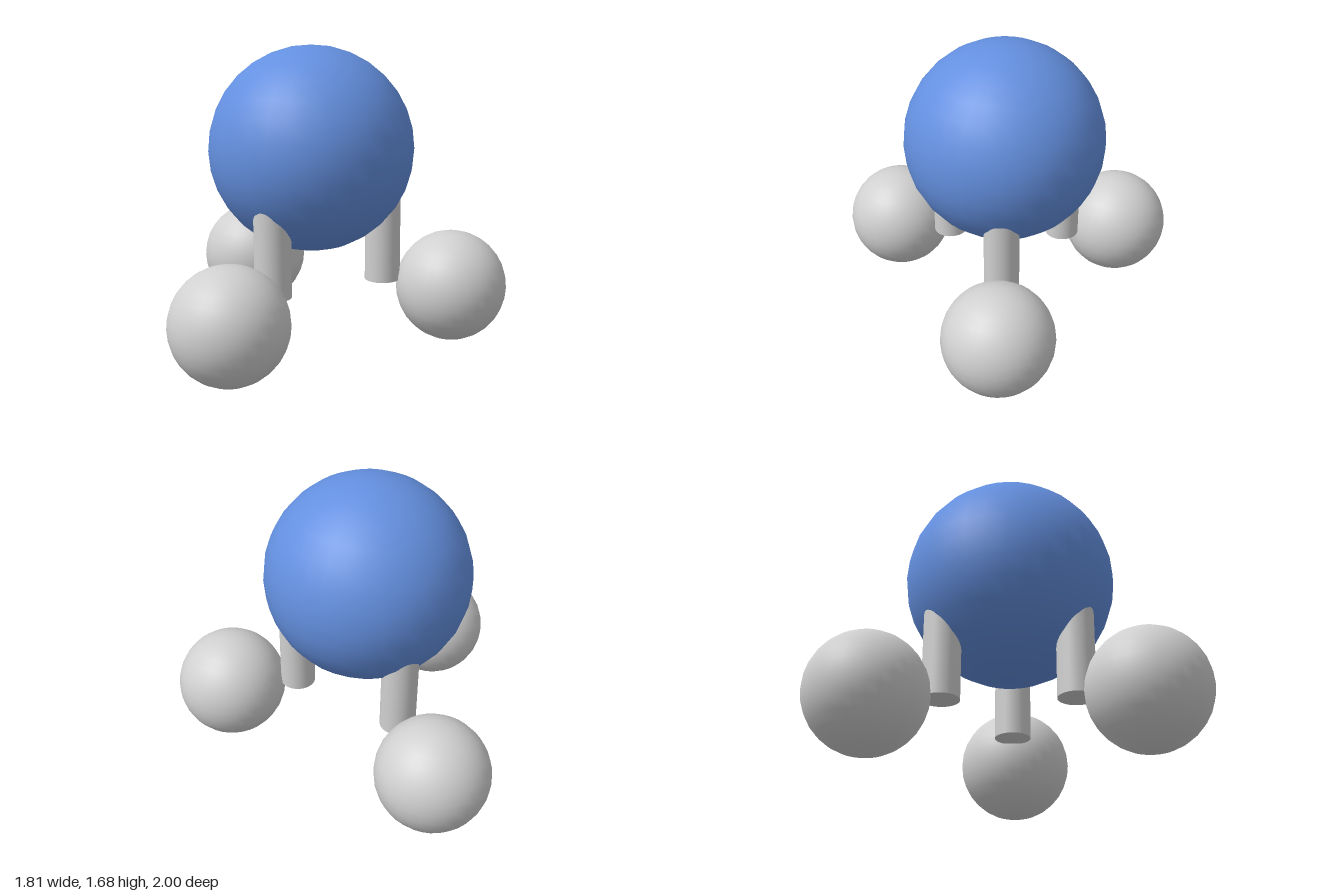
import * as THREE from 'three';

export function createModel() {
  const model = new THREE.Group();
  const blue = new THREE.MeshStandardMaterial({ name: 'blue', color: 0x6490e0 });
  const grey = new THREE.MeshStandardMaterial({ name: 'lightGrey', color: 0xd0d0d0 });
  const centreX = -0.198;

  function add(name, geometry, material, x, y, z) {
    const mesh = new THREE.Mesh(geometry, material);
    mesh.name = name;
    mesh.position.set(x, y, z);
    model.add(mesh);
  }

  // Large body ball
  add('body', new THREE.SphereGeometry(0.571, 32, 16), blue, centreX, 1.11, 0);

  // Three legs sunk into the body, each with a ball foot further out
  const legGeometry = new THREE.CylinderGeometry(0.1, 0.1, 0.6, 32);
  const footGeometry = new THREE.SphereGeometry(0.314, 32, 16);
  ['left', 'backRight', 'frontRight'].forEach((side, i) => {
    const angle = (i * Math.PI * 2) / 3;
    const cos = Math.cos(angle), sin = -Math.sin(angle);
    add(side + 'Leg', legGeometry, grey, centreX + 0.398 * cos, 0.657, 0.398 * sin);
    add(side + 'Foot', footGeometry, grey, centreX + 0.791 * cos, 0.318, 0.791 * sin);
  });

  return model;
}
